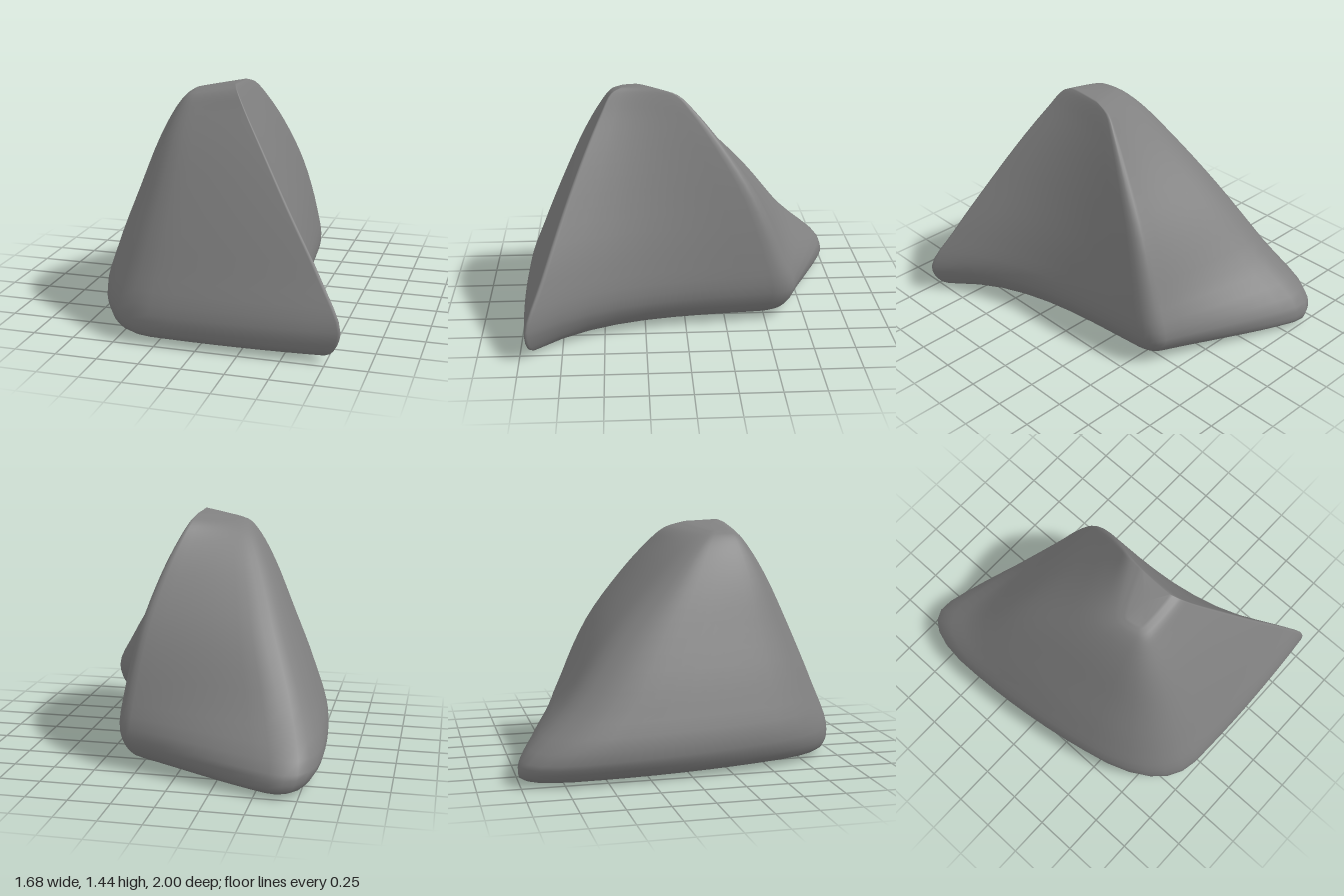
import * as THREE from 'three';

// Four corner ridges, each listed from the ground to the summit.
// bulge bows the side that follows the ridge [at ground, at summit]; skew shifts the bow along it.
const RIDGES = [
  { // front left of the model: crisp, straight
    round: 0.015, bulge: [-0.105, -0.01], skew: 0.5,
    path: [[0.62, 0.01, 0.84], [0.785, 0.05, 0.94], [0.845, 0.19, 0.96], [0.71, 0.45, 0.865], [0.485, 0.8, 0.73],
      [0.293, 1.1, 0.6], [0.16, 1.3, 0.5], [0.09, 1.41, 0.435], [0.06, 1.44, 0.37]],
  },
  { // back left: curved ridge
    round: 0.05, bulge: [0.02, 0.01], skew: -1,
    path: [[0.2, 0.01, -0.46], [0.325, 0.06, -0.59], [0.38, 0.2, -0.66], [0.365, 0.45, -0.595], [0.305, 0.8, -0.45],
      [0.22, 1.1, -0.25], [0.145, 1.29, -0.09], [0.095, 1.39, 0.02], [0.068, 1.43, 0.15]],
  },
  { // back right: broad and soft
    round: 0.14, bulge: [0.05, 0.055], skew: 0,
    path: [[-0.64, 0.01, -0.88], [-0.77, 0.035, -1.05], [-0.83, 0.13, -1.035], [-0.745, 0.42, -0.71], [-0.575, 0.8, -0.39],
      [-0.425, 1.1, -0.09], [-0.315, 1.28, 0.1], [-0.245, 1.36, 0.21], [-0.20, 1.39, 0.27]],
  },
  { // front right: broad and soft
    round: 0.15, bulge: [0.02, 0.02], skew: 0,
    path: [[-0.42, 0.01, 0.82], [-0.535, 0.05, 0.95], [-0.585, 0.18, 0.965], [-0.53, 0.45, 0.875], [-0.43, 0.8, 0.735],
      [-0.345, 1.1, 0.6], [-0.275, 1.28, 0.495], [-0.225, 1.36, 0.43], [-0.18, 1.39, 0.37]],
  },
];
const LEVELS = 32, SIDE_STEPS = 8, CORNER_STEPS = 5;

// One closed loop around the rock: bowed sides joined by rounded corners
function crossSection(t) {
  const corners = RIDGES.map((r) => r.curve.getPoint(t));
  const rounds = RIDGES.map((r) => r.round * (1 + 0.55 * Math.sin(Math.PI * t)));
  const onSide = (i, s) => {
    const a = corners[i], b = corners[(i + 1) % 4];
    const { bulge, skew } = RIDGES[i];
    const p = a.clone().lerp(b, s);
    const bow = THREE.MathUtils.lerp(bulge[0], bulge[1], t) * 4 * s * (1 - s) * (1 + skew * (1 - 2 * s));
    p.x -= (b.z - a.z) * bow;
    p.z += (b.x - a.x) * bow;
    return p;
  };
  const ring = [];
  for (let i = 0; i < 4; i++) {
    const r = rounds[i], rNext = rounds[(i + 1) % 4];
    const bend = new THREE.QuadraticBezierCurve3(onSide((i + 3) % 4, 1 - r), corners[i], onSide(i, r));
    for (let k = 0; k < CORNER_STEPS; k++) ring.push(bend.getPoint(k / CORNER_STEPS));
    for (let k = 0; k < SIDE_STEPS; k++) ring.push(onSide(i, r + (1 - r - rNext) * k / SIDE_STEPS));
  }
  return ring;
}

function rockGeometry() {
  for (const r of RIDGES) {
    r.curve = new THREE.CatmullRomCurve3(r.path.map((p) => new THREE.Vector3(...p)));
  }
  const rings = [];
  for (let l = 0; l <= LEVELS; l++) rings.push(crossSection(l / LEVELS));
  const n = rings[0].length;
  const points = rings.flat();
  const index = [];

  // Flanks
  for (let l = 0; l < LEVELS; l++) {
    for (let j = 0; j < n; j++) {
      const a = l * n + j, b = l * n + (j + 1) % n;
      index.push(a, b, b + n, a, b + n, a + n);
    }
  }

  // Underside and summit
  const middle = (ring) => ring.reduce((s, p) => s.add(p), new THREE.Vector3()).divideScalar(n);
  const bottom = points.push(middle(rings[0]).setY(0)) - 1;
  const top = points.push(middle(rings[LEVELS])) - 1;
  for (let j = 0; j < n; j++) {
    const k = (j + 1) % n;
    index.push(bottom, k, j, top, LEVELS * n + j, LEVELS * n + k);
  }

  const geometry = new THREE.BufferGeometry().setFromPoints(points);
  geometry.setIndex(index);
  geometry.computeVertexNormals();
  return geometry;
}

export function createModel() {
  const group = new THREE.Group();
  group.name = 'rock';
  const stone = new THREE.MeshStandardMaterial({ color: 0x808080 });
  stone.name = 'stone grey';
  const boulder = new THREE.Mesh(rockGeometry(), stone);
  boulder.name = 'boulder';
  group.add(boulder);
  return group;
}
